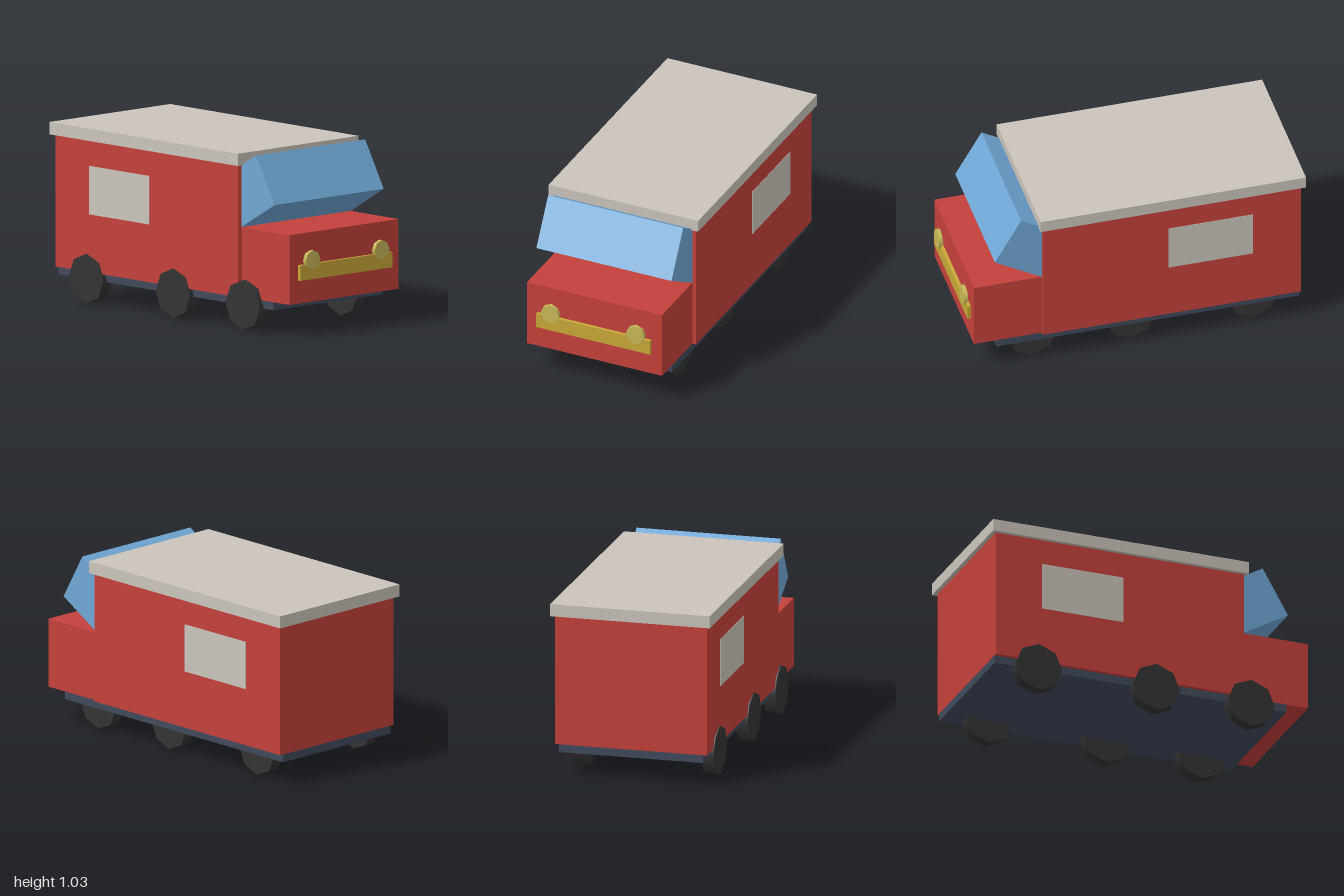
import * as THREE from 'three';

const mat = (name, color) => {
  const m = new THREE.MeshStandardMaterial({ color });
  m.name = name;
  return m;
};

export function createModel() {
  const group = new THREE.Group();
  const red = mat('red paint', 0xc4403a);
  const cream = mat('warm grey', 0xcac4bb);
  const blue = mat('blue glass', 0x70a8d6);
  const navy = mat('dark navy', 0x404a5c);
  const rubber = mat('black rubber', 0x333333);
  const gold = mat('gold', 0xc8a838);
  const lamp = mat('pale yellow', 0xc8b858);

  const add = (name, geometry, material) => {
    const mesh = new THREE.Mesh(geometry, material);
    mesh.name = name;
    group.add(mesh);
    return mesh;
  };

  // Box given by its x and y ranges and its full depth, centred on z = 0
  const box = (name, material, x0, x1, y0, y1, depth) => {
    const mesh = add(name, new THREE.BoxGeometry(x1 - x0, y1 - y0, depth), material);
    mesh.position.set((x0 + x1) / 2, (y0 + y1) / 2, 0);
    return mesh;
  };

  // Van shell
  box('chassis', navy, -0.974, 0.835, 0.138, 0.22, 0.86);
  box('body', red, -0.975, 0.565, 0.185, 0.96, 0.906);
  box('roof', cream, -1, 0.585, 0.955, 1.027, 0.954);
  box('bonnet', red, 0.55, 0.97, 0.185, 0.592, 0.862);

  // Tilted windscreen block, its rear edge buried in the body
  const length = 0.36, height = 0.313, tilt = Math.PI / 6;
  const glass = new THREE.BoxGeometry(length, height, 0.862);
  glass.translate(-length / 2, height / 2, 0);
  const windscreen = add('windscreen', glass, blue);
  windscreen.rotation.z = tilt;
  windscreen.position.set(0.845, 0.753, 0);

  // Side windows
  for (const side of [1, -1]) {
    const pane = box('sideWindow', cream, -0.69, -0.185, 0.522, 0.805, 0.004);
    pane.position.z = side * 0.453;
  }

  // Bumper and headlights
  box('bumper', gold, 0.965, 0.99, 0.32, 0.41, 0.726);
  for (const side of [1, -1]) {
    const light = new THREE.CylinderGeometry(0.058, 0.058, 0.024, 8);
    light.rotateZ(-Math.PI / 2);
    add('headlight', light, lamp).position.set(0.988, 0.432, side * 0.272);
  }

  // Three axles of eight-sided wheels, the far row set further in
  for (const x of [-0.71, 0.02, 0.607]) {
    for (const z of [0.424, -0.349]) {
      const wheel = new THREE.CylinderGeometry(0.145, 0.145, 0.072, 8);
      wheel.rotateX(Math.PI / 2);
      add('wheel', wheel, rubber).position.set(x, 0.145, z);
    }
  }
  return group;
}
